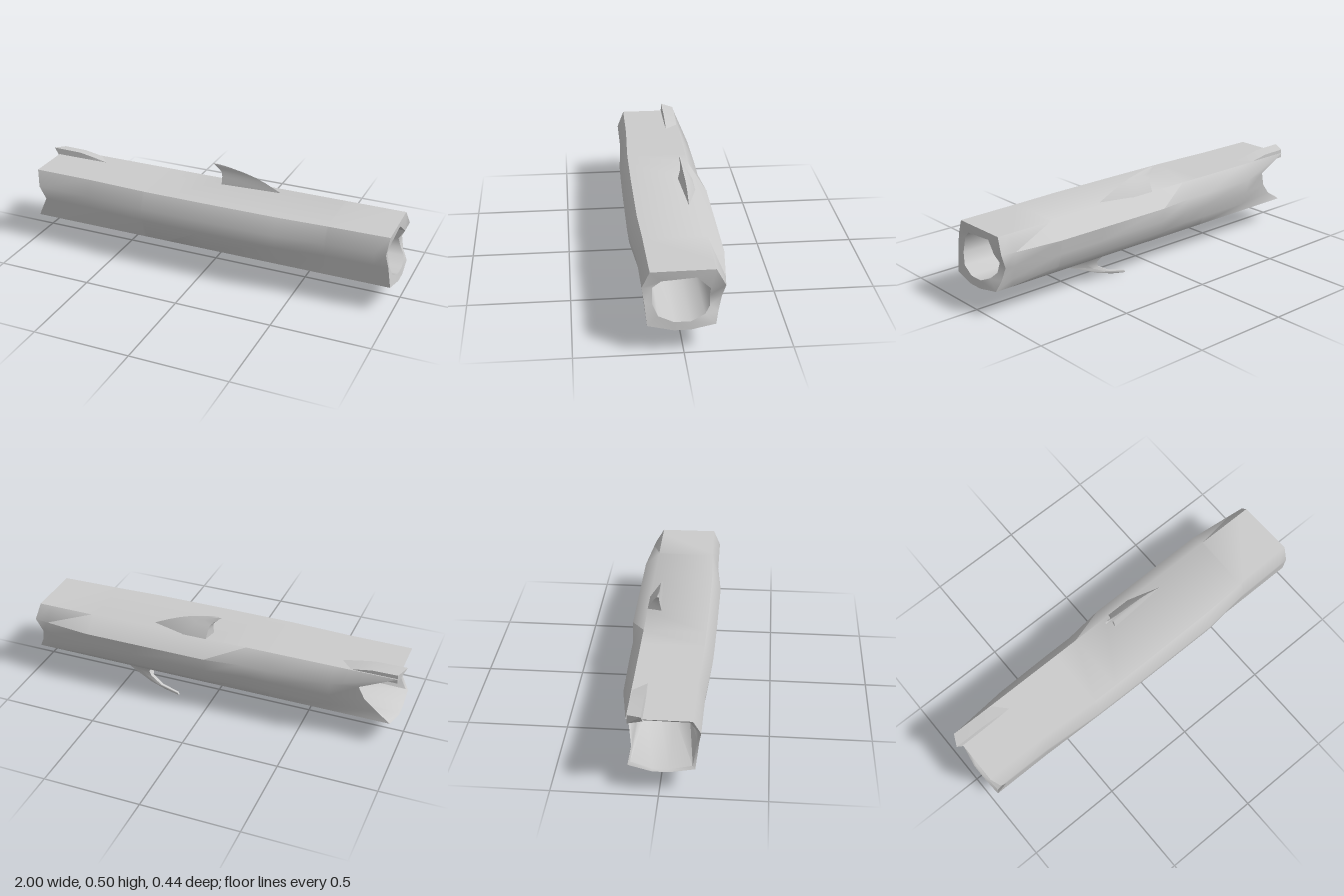
import * as THREE from 'three';
import { toCreasedNormals } from 'three/addons/utils/BufferGeometryUtils.js';

const material = new THREE.MeshStandardMaterial({ color: 0xcccccc, side: THREE.DoubleSide });

// Skins a list of equal-length rings of [x, y, z]; 'closed' joins the last ring to the first.
function loft(name, rings, { closed = false, crease = 0.87 } = {}) {
  const n = rings[0].length;
  const index = [];
  const last = closed ? rings.length : rings.length - 1;
  for (let i = 0; i < last; i++) {
    for (let j = 0; j < n; j++) {
      const k = (j + 1) % n;
      const next = (i + 1) % rings.length;
      const a = i * n + j, b = i * n + k, c = next * n + k, d = next * n + j;
      index.push(a, b, d, b, c, d);
    }
  }
  if (!closed) {
    const top = (rings.length - 1) * n;
    for (let j = 1; j < n - 1; j++) {
      index.push(0, j + 1, j, top, top + j, top + j + 1);
    }
  }
  const geometry = new THREE.BufferGeometry();
  geometry.setAttribute('position', new THREE.Float32BufferAttribute(rings.flat(2), 3));
  geometry.setIndex(index);
  const mesh = new THREE.Mesh(toCreasedNormals(geometry, crease), material);
  mesh.name = name;
  return mesh;
}

// Outer cross-section as [z, y], from the top front edge down and round to the top back edge.
const section = (front, back, bottom, topFront) => [
  [topFront, 0.4], [front, 0.32], [front - 0.01, 0.25], [0.165, 0.14],
  [0.045, bottom], [-0.03, bottom], [-0.145, 0.135],
  [-back + 0.03, 0.185], [-back + 0.015, 0.25], [-back, 0.325], [-0.145, 0.4],
];

// Bore cross-section, matched point for point with the outer one.
const bore = [
  [0.1, 0.35], [0.14, 0.315], [0.14, 0.24], [0.115, 0.185], [0.045, 0.157], [-0.03, 0.157],
  [-0.095, 0.185], [-0.12, 0.215], [-0.12, 0.26], [-0.12, 0.31], [-0.06, 0.36],
];

// x, front width, back width, bottom height, top front edge
const stations = [
  [-0.65, 0.19, 0.195, 0.12, 0.155], [-0.335, 0.21, 0.2, 0.115, 0.168],
  [-0.325, 0.21, 0.2, 0.084, 0.168], [-0.2, 0.212, 0.2, 0.094, 0.169],
  [0, 0.214, 0.222, 0.112, 0.17], [0.4, 0.215, 0.222, 0.113, 0.168],
  [0.65, 0.19, 0.222, 0.116, 0.158], [0.66, 0.19, 0.222, 0.109, 0.158],
  [0.9, 0.187, 0.196, 0.114, 0.152],
];

// Ragged break at each end: x of every point round the rim
const leftBreak = [-0.97, -0.945, -0.915, -0.97, -0.975, -0.975, -0.955, -0.88, -0.82, -0.79, -0.97];
const rightBreak = [0.965, 0.958, 0.972, 0.985, 0.995, 0.995, 0.985, 0.96, 0.945, 0.975, 0.962];

const place = (points, x) => points.map(([z, y], j) => [Array.isArray(x) ? x[j] : x, y, z]);

function makeLog() {
  const leftEnd = section(0.188, 0.165, 0.12, 0.152);
  const rightEnd = section(0.186, 0.187, 0.117, 0.15);
  const leftRim = leftEnd.map(([z, y], j) => [
    THREE.MathUtils.lerp(z, bore[j][0], 0.25), THREE.MathUtils.lerp(y, bore[j][1], 0.25),
  ]);
  return loft('hollowTrunk', [
    place(leftEnd, leftBreak),
    ...stations.map(([x, ...shape]) => place(section(...shape), x)),
    place(rightEnd, rightBreak),
    place(bore, rightBreak.map((x) => x - 0.005)),
    place(bore, 0),
    place(bore, -0.6),
    place(leftRim, leftBreak.map((x) => x + 0.01)),
  ], { closed: true });
}

// Wall closing the bore halfway
function makeBoreWall() {
  const shape = new THREE.Shape(bore.map(([z, y]) => new THREE.Vector2(-z, y)));
  const geometry = new THREE.ShapeGeometry(shape).rotateY(Math.PI / 2);
  const mesh = new THREE.Mesh(geometry, material);
  mesh.name = 'boreWall';
  return mesh;
}

// Broken branch rising through levels of [y, near x, far x, front z, back z]
function makeBranch(name, levels) {
  return loft(name, levels.map(([y, x0, x1, front, back]) => [
    [x0, y, front],
    [x1, y, front * 0.7 + back * 0.3],
    [x0 + (x1 - x0) * 0.45, y, back],
    [x0 + (x1 - x0) * 0.05, y, back],
  ]));
}

// Splinter running along the top back edge
function makeSplinter() {
  const rows = [[-1, -0.97, 0.432], [-0.84, -0.84, 0.43], [-0.76, -0.76, 0.416], [-0.67, -0.67, 0.398]];
  return loft('splinter', rows.map(([topX, baseX, y]) => [
    [topX, y, -0.075], [baseX, 0.39, -0.07], [baseX, 0.375, -0.14], [baseX, y - 0.012, -0.14],
  ]), { crease: 0.6 });
}

export function createModel() {
  const log = new THREE.Group();
  log.name = 'hollowLog';
  log.add(
    makeLog(),
    makeBoreWall(),
    makeSplinter(),
    makeBranch('upperBranch', [
      [0.37, 0, 0.37, -0.07, -0.155], [0.4, 0, 0.32, -0.073, -0.146], [0.44, 0, 0.235, -0.082, -0.125],
      [0.462, -0.003, 0.18, -0.085, -0.112], [0.48, -0.02, 0.12, -0.085, -0.1], [0.497, -0.04, 0.04, -0.083, -0.094],
      [0.505, -0.05, -0.01, -0.082, -0.091],
    ]),
    makeBranch('lowerBranch', [
      [0, 0.18, 0.2, -0.119, -0.126], [0.012, 0.185, 0.26, -0.116, -0.127], [0.035, 0.28, 0.345, -0.107, -0.12],
      [0.07, 0.34, 0.43, -0.092, -0.109], [0.1, 0.348, 0.51, -0.065, -0.112], [0.13, 0.32, 0.56, -0.05, -0.13],
    ]),
  );
  return log;
}
